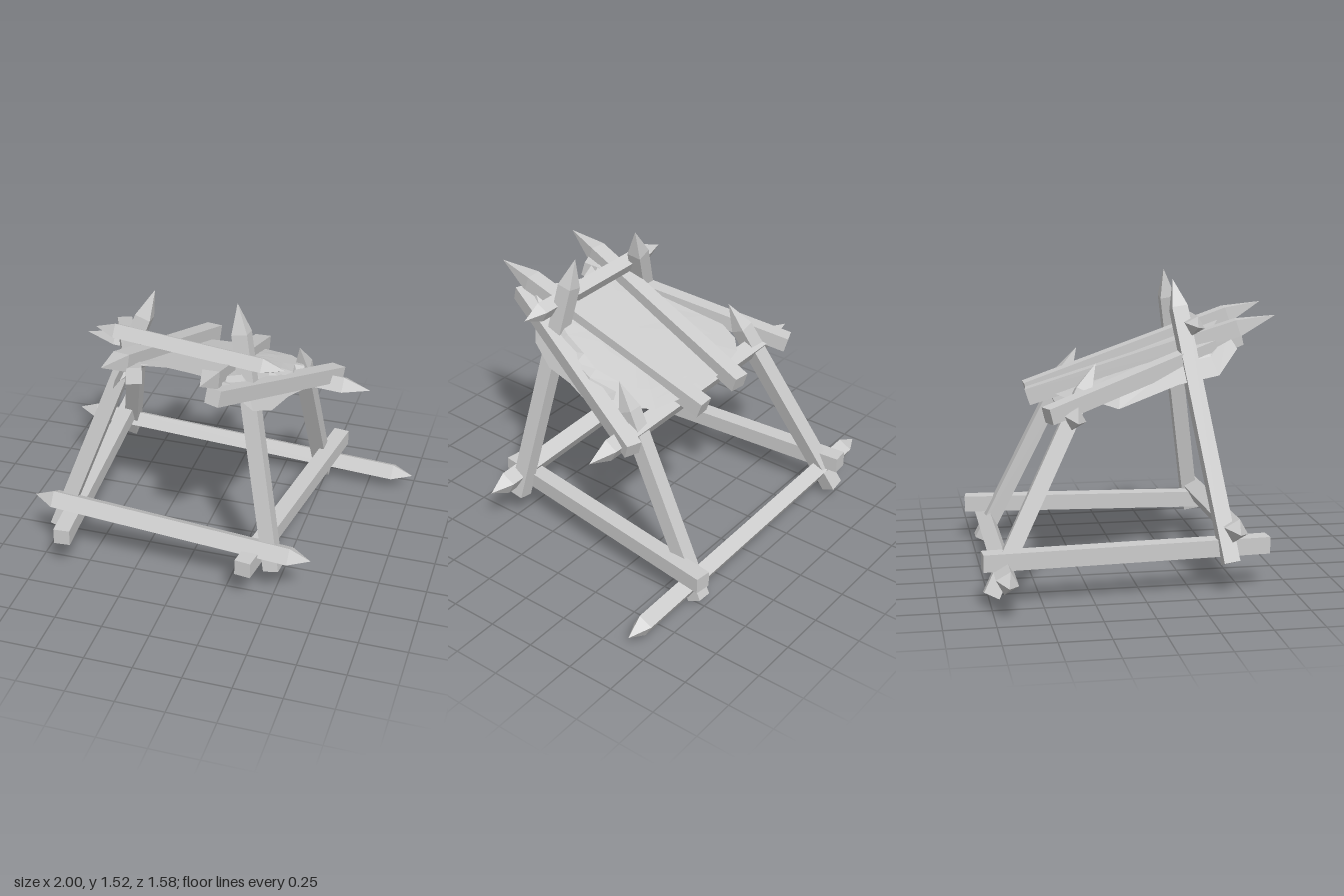
import * as THREE from 'three';
import { mergeGeometries } from 'three/addons/utils/BufferGeometryUtils.js';

const wood = new THREE.MeshStandardMaterial({ color: 0xcccccc, flatShading: true });
const cloth = new THREE.MeshStandardMaterial({ color: 0xcccccc, flatShading: true, side: THREE.DoubleSide });

// Square timber from a to b; tipA and tipB are the lengths of the sharpened ends
function beam(name, a, b, width, { tipA = 0, tipB = 0, roll = 0, up = [0, 1, 0] } = {}) {
  const start = new THREE.Vector3(...a), end = new THREE.Vector3(...b);
  const length = start.distanceTo(end), r = width / Math.SQRT2;
  const body = new THREE.CylinderGeometry(r, r, length - tipA - tipB, 4);
  body.translate(0, tipA + (length - tipA - tipB) / 2, 0);
  const parts = [body];
  if (tipA) parts.push(new THREE.ConeGeometry(r, tipA, 4, 1, true).rotateX(Math.PI).translate(0, tipA / 2, 0));
  if (tipB) parts.push(new THREE.ConeGeometry(r, tipB, 4, 1, true).translate(0, length - tipB / 2, 0));
  const geometry = mergeGeometries(parts);
  geometry.rotateY(Math.PI / 4).rotateX(Math.PI / 2).rotateZ(roll);
  const z = end.clone().sub(start).normalize();
  const x = new THREE.Vector3(...up).cross(z).normalize();
  const y = z.clone().cross(x);
  geometry.applyMatrix4(new THREE.Matrix4().makeBasis(x, y, z).setPosition(start));
  const mesh = new THREE.Mesh(geometry, wood);
  mesh.name = name;
  return mesh;
}

// Sloping hide that folds down where it passes the side poles
function hideHeight(x, z) {
  const pole = 0.42 - 0.39 * z;
  return 1.065 + 0.34 * z - 0.12 * Math.max(0, Math.abs(x) - 0.25) - 2 * Math.max(0, Math.abs(x) - pole - 0.03);
}

function hide() {
  const outline = [
    [0.05, -0.4], [0.36, -0.33], [0.42, -0.27], [0.47, -0.16], [0.5, 0], [0.46, 0.13], [0.42, 0.3],
    [0.36, 0.44], [0.21, 0.57], [0.06, 0.51], [-0.06, 0.47], [-0.18, 0.51], [-0.28, 0.55], [-0.36, 0.44],
    [-0.42, 0.22], [-0.53, -0.1], [-0.42, -0.26], [-0.34, -0.33], [-0.12, -0.38],
  ];
  const n = outline.length, scales = [0.5, 0.78, 0.9, 1], cz = 0.08;
  const points = [0, hideHeight(0, cz), cz], index = [];
  scales.forEach((s, k) => outline.forEach(([ox, oz], i) => {
    const x = ox * s, z = cz + (oz - cz) * s;
    points.push(x, hideHeight(x, z), z);
    const j = (i + 1) % n, a = 1 + k * n + i, b = 1 + k * n + j;
    if (k === 0) index.push(0, b, a);
    else index.push(a - n, b - n, b, a - n, b, a);
  }));
  const geometry = new THREE.BufferGeometry();
  geometry.setAttribute('position', new THREE.Float32BufferAttribute(points, 3));
  geometry.setIndex(index);
  geometry.computeVertexNormals();
  const mesh = new THREE.Mesh(geometry, cloth);
  mesh.name = 'hideCover';
  return mesh;
}

export function createModel() {
  const group = new THREE.Group();
  group.name = 'hideShelter';
  const leg = { tipB: 0.15, up: [0, 0, 1] };
  const rail = { tipA: 0.11, tipB: 0.11, roll: -0.5 };

  group.add(
    // Legs with sharpened tops
    beam('frontLegLeft', [0.49, 0.15, 0.48], [0.23, 1.52, 0.27], 0.08, leg),
    beam('frontLegRight', [-0.69, 0.16, 0.43], [-0.2, 1.51, 0.23], 0.08, leg),
    beam('backLegLeft', [0.48, 0.02, -0.7], [0.44, 1.08, -0.17], 0.08, leg),
    beam('backLegRight', [-0.7, 0.06, -0.75], [-0.44, 1.13, -0.2], 0.08, leg),

    // Cross rails, sharpened at both ends
    beam('backBottomRail', [-1, 0.18, -0.69], [1, 0.09, -0.66], 0.08, rail),
    beam('frontBottomRail', [-0.81, 0.33, 0.45], [0.69, 0.25, 0.5], 0.085, rail),
    beam('backTopRail', [-0.79, 0.9, -0.335], [0.8, 0.83, -0.27], 0.08, { ...rail, tipA: 0.17, tipB: 0.14 }),
    beam('frontTopRail', [-0.49, 1.3, 0.3], [0.5, 1.25, 0.38], 0.07, rail),

    // Ground side rails
    beam('sideRailLeft', [0.37, 0.225, 0.63], [0.56, 0.205, -0.78], 0.085),
    beam('sideRailRight', [-0.595, 0.225, 0.64], [-0.7, 0.23, -0.79], 0.085),

    // Roof poles above the hide
    beam('roofPoleLeft', [0.16, 0.905, -0.48], [0.2, 1.34, 0.79], 0.085, { tipB: 0.2 }),
    beam('roofPoleRight', [-0.12, 0.92, -0.5], [-0.3, 1.33, 0.74], 0.085, { tipB: 0.2 }),

    // Side poles under the hide edges
    beam('sidePoleLeft', [0.6, 0.85, -0.38], [0.22, 1.21, 0.65], 0.08),
    beam('sidePoleRight', [-0.62, 0.91, -0.46], [-0.2, 1.21, 0.57], 0.08),

    hide(),
  );
  return group;
}
